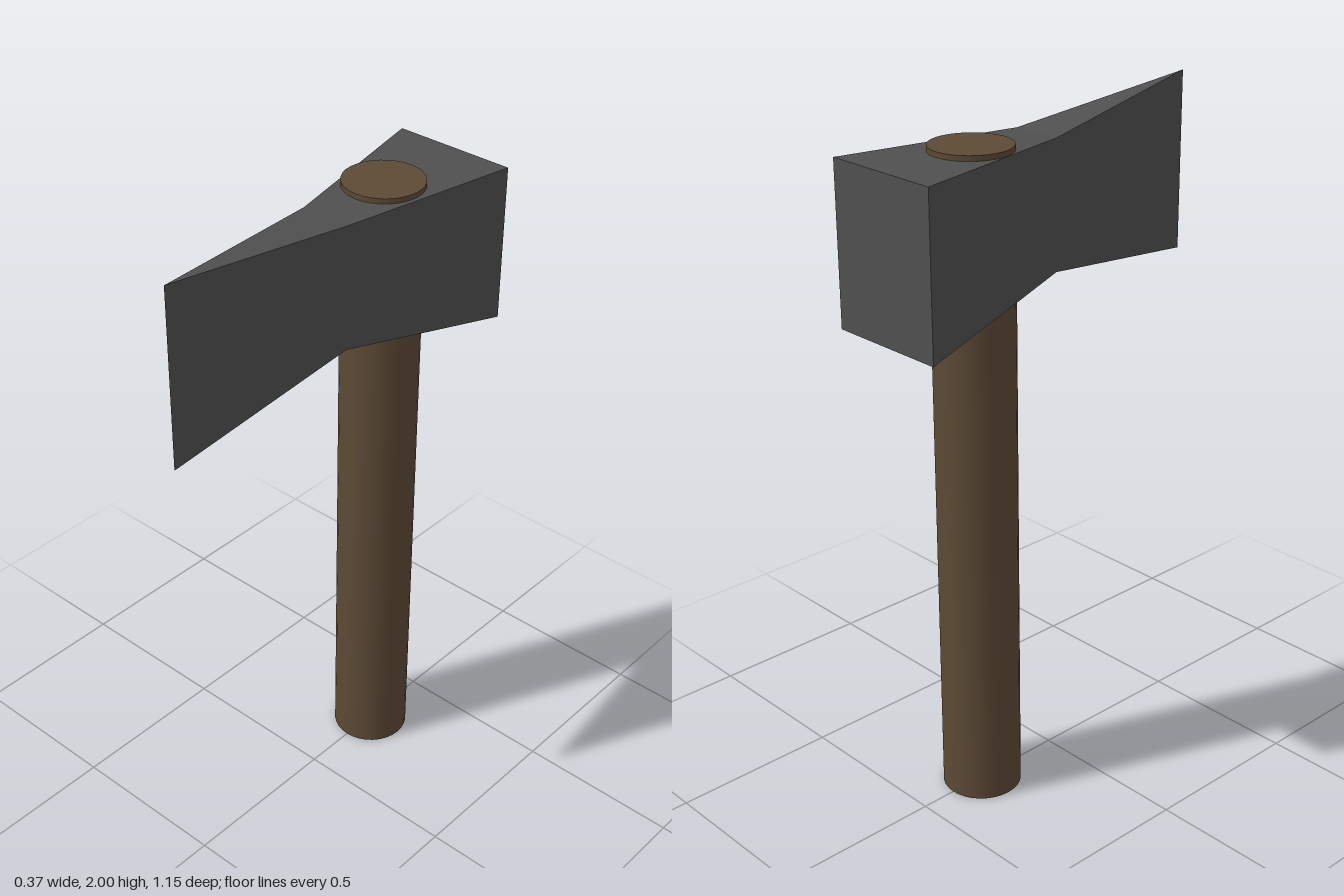
import * as THREE from 'three';

// Lofts rectangular sections [z, left, right, bottom, top], ending in a sharp edge
function loftHead(sections) {
  const rings = sections.map(([z, l, r, b, t]) => [[l, b, z], [r, b, z], [r, t, z], [l, t, z]]);
  const pos = [];
  const tri = (...pts) => pts.forEach((p) => pos.push(...p));
  for (let i = 0; i < rings.length - 1; i++) {
    const thinEnd = sections[i + 1][1] === sections[i + 1][2];
    for (let j = 0; j < 4; j++) {
      const k = (j + 1) % 4;
      const [a, b, c, d] = [rings[i][j], rings[i][k], rings[i + 1][k], rings[i + 1][j]];
      tri(a, b, c);
      // top and bottom narrow to a single triangle at the cutting edge
      if (!(thinEnd && j % 2 === 0)) tri(a, c, d);
    }
  }
  // flat back of the head
  const [a, b, c, d] = rings[0];
  tri(a, c, b);
  tri(a, d, c);
  const geo = new THREE.BufferGeometry();
  geo.setAttribute('position', new THREE.Float32BufferAttribute(pos, 3));
  geo.computeVertexNormals();
  return geo;
}

export function createModel() {
  const group = new THREE.Group();
  group.name = 'axe';

  // Head: square poll, slim waist, flared cutting edge slightly off-centre
  const head = new THREE.Mesh(
    loftHead([
      [-0.577, -0.187, 0.187, 1.466, 1.932],
      [-0.035, -0.068, 0.085, 1.56, 1.932],
      [0.577, 0.045, 0.045, 1.466, 2.0],
    ]),
    new THREE.MeshStandardMaterial({ color: 0x505050, flatShading: true })
  );
  head.name = 'axeHead';

  // Round wooden handle, poking just through the top of the head
  const height = 1.947;
  const handle = new THREE.Mesh(
    new THREE.CylinderGeometry(0.116, 0.116, height, 32),
    new THREE.MeshStandardMaterial({ color: 0x5c4a35 })
  );
  handle.position.set(0, height / 2, -0.276);
  handle.name = 'handle';

  group.add(head, handle);
  return group;
}
